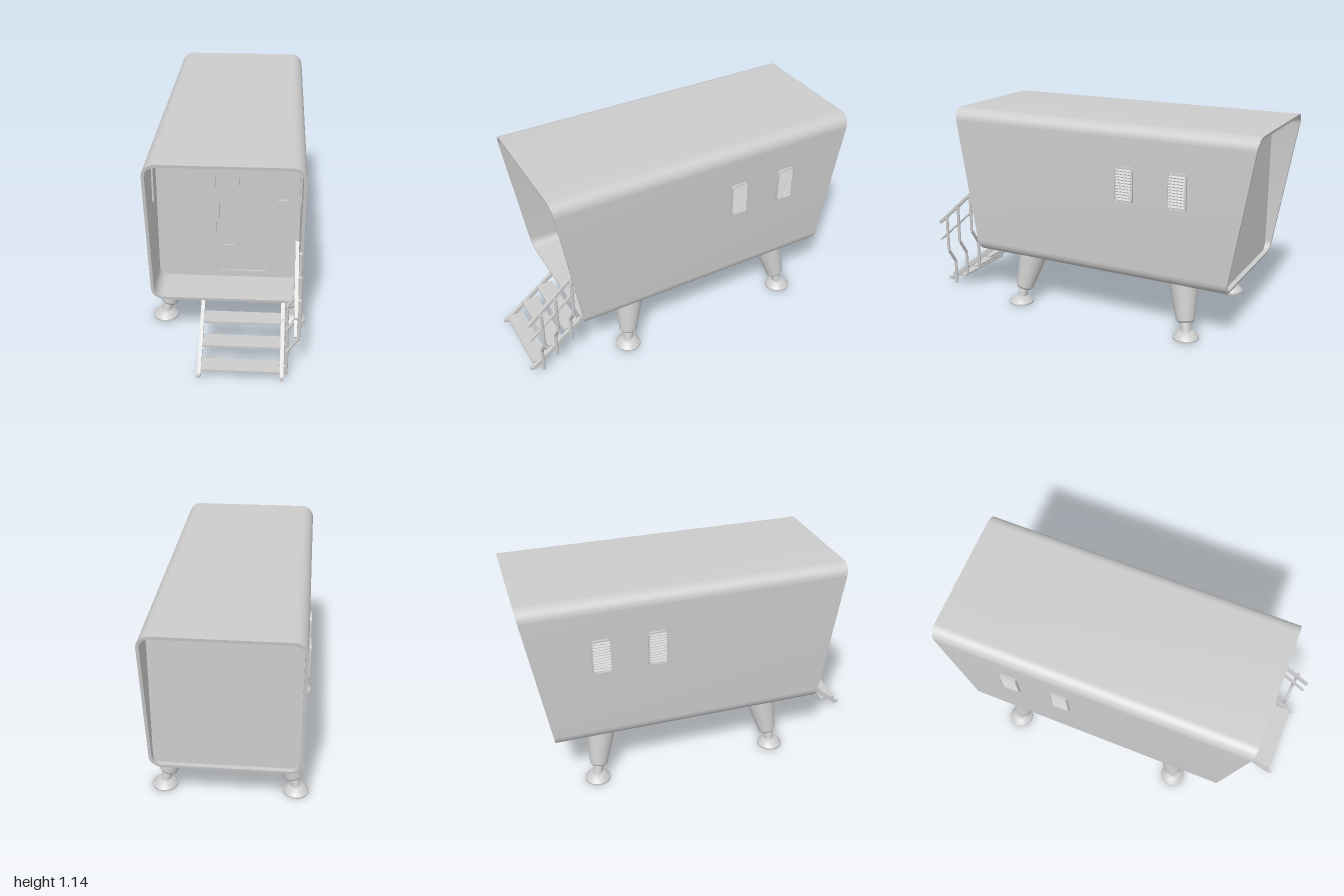
import * as THREE from 'three';
import { toCreasedNormals } from 'three/addons/utils/BufferGeometryUtils.js';

const mat = new THREE.MeshStandardMaterial({ color: 0xcccccc });
const V = (x, y, z) => new THREE.Vector3(x, y, z);

function add(parent, name, geo, x = 0, y = 0, z = 0) {
  const m = new THREE.Mesh(geo, mat);
  m.name = name;
  m.position.set(x, y, z);
  parent.add(m);
  return m;
}

// Rounded rectangle from corner limits
function trace(p, x0, x1, y0, y1, r) {
  p.moveTo(x0 + r, y0);
  p.lineTo(x1 - r, y0);
  p.absarc(x1 - r, y0 + r, r, -Math.PI / 2, 0);
  p.lineTo(x1, y1 - r);
  p.absarc(x1 - r, y1 - r, r, 0, Math.PI / 2);
  p.lineTo(x0 + r, y1);
  p.absarc(x0 + r, y1 - r, r, Math.PI / 2, Math.PI);
  p.lineTo(x0, y0 + r);
  p.absarc(x0 + r, y0 + r, r, Math.PI, Math.PI * 1.5);
  return p;
}

// Extruded rounded panel; rim > 0 cuts it into a frame
function panel(x0, x1, y0, y1, r, depth, rim = 0) {
  const s = trace(new THREE.Shape(), x0, x1, y0, y1, r);
  if (rim) s.holes.push(trace(new THREE.Path(), x0 + rim, x1 - rim, y0 + rim, y1 - rim, Math.max(r - rim, 0.004)));
  const g = new THREE.ExtrudeGeometry(s, { depth, bevelEnabled: false, curveSegments: 10 });
  return toCreasedNormals(g, 0.6);
}

// Tapered round bar between two points
function bar(parent, name, a, b, ra, rb = ra, sides = 24) {
  const m = add(parent, name, new THREE.CylinderGeometry(rb, ra, a.distanceTo(b), sides));
  m.position.copy(a).lerp(b, 0.5);
  m.quaternion.setFromUnitVectors(V(0, 1, 0), b.clone().sub(a).normalize());
  return m;
}

// Rectangular bar in the y-z plane
function beam(parent, name, x, z0, y0, z1, y1, w, h) {
  const len = Math.hypot(z1 - z0, y1 - y0);
  const m = add(parent, name, new THREE.BoxGeometry(w, h, len), x, (y0 + y1) / 2, (z0 + z1) / 2);
  m.rotation.x = -Math.atan2(y1 - y0, z1 - z0);
}

// Open tube-like shell whose ends lean outward towards the roof
function shell() {
  const g = panel(-0.4, 0.4, 0.287, 1.14, 0.07, 1, 0.016);
  const p = g.attributes.position;
  for (let i = 0; i < p.count; i++) {
    const t = (p.getY(i) - 0.287) / 0.853;
    p.setZ(i, THREE.MathUtils.lerp(-0.857 - 0.143 * t, 0.685 + 0.135 * t, p.getZ(i)));
  }
  return toCreasedNormals(g, 0.6);
}

function vent() {
  const g = new THREE.Group();
  g.name = 'vent';
  add(g, 'ventFrame', panel(-0.054, 0.054, -0.1, 0.1, 0.02, 0.014, 0.007));
  add(g, 'ventBack', panel(-0.052, 0.052, -0.098, 0.098, 0.018, 0.003));
  for (let i = 0; i < 11; i++) {
    const s = add(g, 'ventSlat', new THREE.BoxGeometry(0.095, 0.011, 0.004), 0, -0.08 + i * 0.016, 0.007);
    s.rotation.x = -0.6;
  }
  return g;
}

function leg(sx, zTop, zFoot) {
  const g = new THREE.Group();
  g.name = 'leg';
  const top = V(sx * 0.285, 0.31, zTop);
  const foot = V(sx * 0.367, 0.02, zFoot);
  const at = t => top.clone().lerp(foot, t);
  bar(g, 'legCone', at(0.75), top, 0.05, 0.085, 32);
  bar(g, 'legConeEnd', at(0.785), at(0.75), 0.04, 0.05, 32);
  bar(g, 'legPiston', foot, at(0.77), 0.028);
  const prof = [[0, 0.012], [0.055, 0.012], [0.064, 0], [0.072, 0], [0.072, 0.01], [0.062, 0.02], [0.042, 0.038], [0.03, 0.042], [0, 0.042]];
  const geo = new THREE.LatheGeometry(prof.map(q => new THREE.Vector2(...q)), 36);
  add(g, 'footPad', toCreasedNormals(geo, 0.5), foot.x, 0, foot.z);
  return g;
}

function stairs() {
  const g = new THREE.Group();
  g.name = 'stairs';
  // Stringers with flat hooks at both ends
  for (const x of [-0.122, 0.305]) {
    beam(g, 'stringer', x, 0.58, 0.28, 0.67, 0.28, 0.02, 0.016);
    beam(g, 'stringer', x, 0.66, 0.28, 0.978, 0.027, 0.02, 0.022);
    beam(g, 'stringer', x, 0.968, 0.027, 1.0, 0.027, 0.02, 0.016);
  }
  for (let i = 0; i < 3; i++) {
    add(g, 'tread', new THREE.BoxGeometry(0.41, 0.013, 0.097), 0.0915, 0.054 + i * 0.08, 0.932 - i * 0.1);
  }
  // Handrail posts bend outward above the stringer
  const railY = z => 0.41 + (1 - z) * 0.88;
  for (const z of [0.93, 0.843, 0.748]) {
    const base = 0.008 + (0.93 - z) * 0.85;
    const pts = [V(0.328, base, z), V(0.328, base + 0.15, z), V(0.388, base + 0.24, z), V(0.388, railY(z), z)];
    for (let i = 0; i < 3; i++) bar(g, 'railPost', pts[i], pts[i + 1], 0.009, 0.009, 12);
    bar(g, 'postBracket', V(0.3, base + 0.055, z), V(0.332, base + 0.055, z), 0.008, 0.008, 12);
    for (const d of [0, 0.11]) {
      bar(g, 'railBracket', V(0.366, railY(z) - d, z), V(0.39, railY(z) - d, z), 0.007, 0.007, 12);
    }
  }
  beam(g, 'handrail', 0.367, 0.7, railY(0.7), 1.0, railY(1), 0.019, 0.017);
  beam(g, 'midRail', 0.367, 0.7, railY(0.7) - 0.11, 1.0, railY(1) - 0.11, 0.015, 0.01);
  return g;
}

export function createModel() {
  const model = new THREE.Group();
  model.name = 'raisedCabin';
  add(model, 'shell', shell());

  // Recessed end walls
  add(model, 'frontWall', panel(-0.388, 0.388, 0.3, 1.128, 0.058, 0.02), 0, 0, 0.44);
  add(model, 'backWall', panel(-0.388, 0.388, 0.3, 1.128, 0.058, 0.02), 0, 0, -0.832);

  // Door with narrow window
  const door = new THREE.Group();
  door.name = 'door';
  door.position.z = 0.46;
  model.add(door);
  add(door, 'doorFrame', panel(-0.075, 0.233, 0.34, 1.037, 0.05, 0.014, 0.009));
  add(door, 'doorPanel', panel(-0.066, 0.224, 0.349, 1.028, 0.041, 0.004));
  add(door, 'doorLeaf', panel(-0.066, 0.06, 0.349, 1.028, 0.035, 0.007));
  add(door, 'windowFrame', panel(-0.055, 0.043, 0.505, 1.0, 0.016, 0.018, 0.009));
  add(door, 'windowPane', panel(-0.05, 0.038, 0.51, 0.995, 0.012, 0.009));

  // Entry control box
  add(model, 'controlFrame', panel(0.265, 0.312, 0.722, 0.79, 0.004, 0.014, 0.006), 0, 0, 0.46);
  add(model, 'controlFace', new THREE.BoxGeometry(0.037, 0.058, 0.008), 0.2885, 0.756, 0.464);
  add(model, 'controlButton', new THREE.BoxGeometry(0.028, 0.026, 0.014), 0.2885, 0.77, 0.467);

  for (const s of [-1, 1]) {
    // Strips on the inner faces of the porch
    add(model, 'porchStrip', new THREE.BoxGeometry(0.01, 0.2, 0.05), s * 0.38, 0.93, 0.58);
    for (const z of [-0.275, -0.58]) {
      const v = vent();
      v.position.set(s * 0.399, 0.82, z);
      v.rotation.y = s * Math.PI / 2;
      model.add(v);
    }
    model.add(leg(s, 0.37, 0.42), leg(s, -0.585, -0.637));
  }

  model.add(stairs());
  return model;
}
